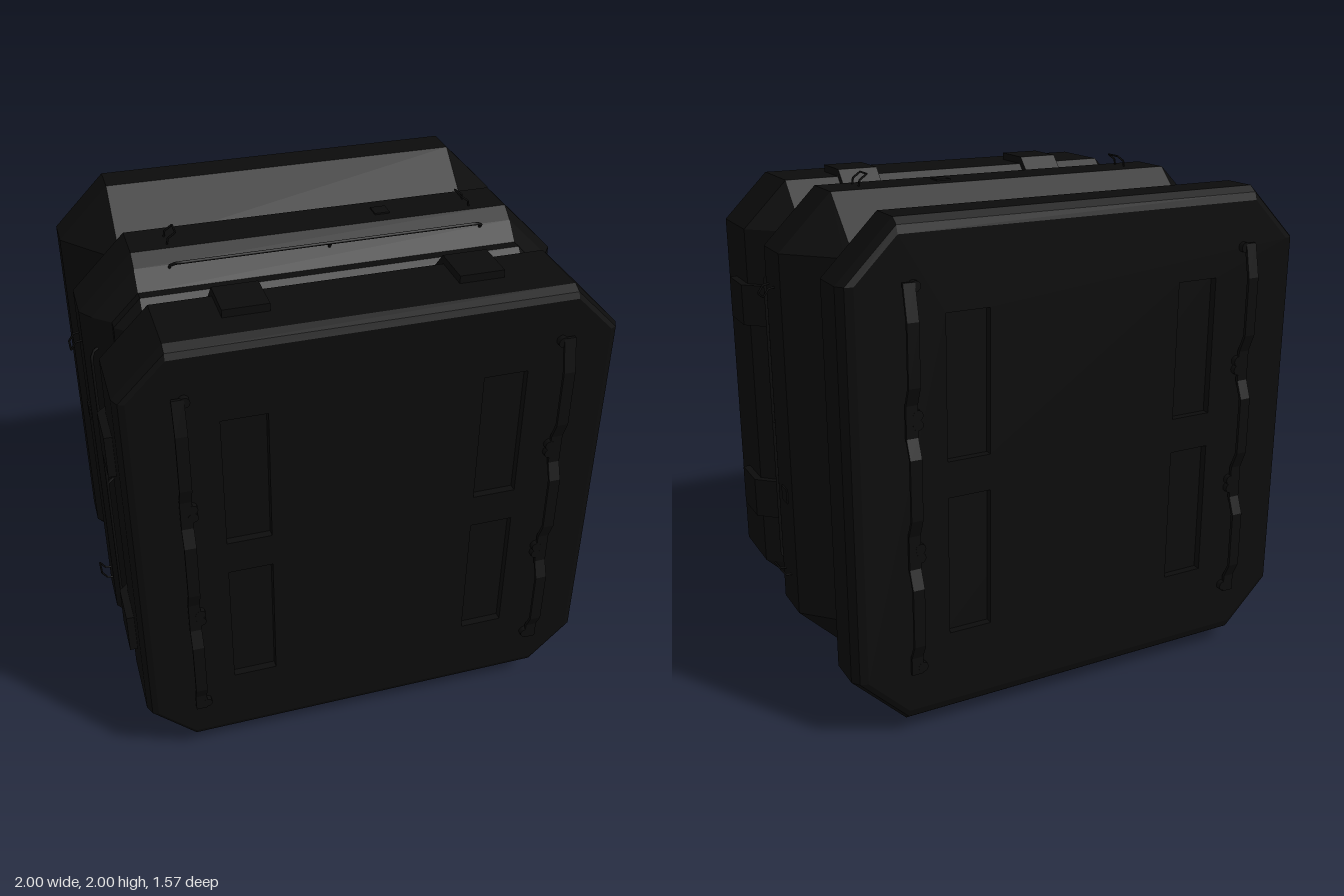
import * as THREE from 'three';

const V = (x, y, z) => new THREE.Vector3(x, y, z);

// Octagon outline of half-size r; corner points stay on the lines at +-0.74
function octagon(r) {
  const c = 0.74;
  return [[r, -c], [r, c], [c, r], [-c, r], [-r, c], [-r, -c], [-c, -r], [c, -r]];
}

// Flat-faced skin through octagons listed front to back as [z, r]
function loft(profile) {
  const pos = [];
  for (let i = 0; i < profile.length - 1; i++) {
    const [z0, r0] = profile[i], [z1, r1] = profile[i + 1];
    const p = octagon(r0), q = octagon(r1);
    for (let j = 0; j < 8; j++) {
      const k = (j + 1) % 8;
      const a = [...p[j], z0], b = [...p[k], z0], c = [...q[k], z1], d = [...q[j], z1];
      pos.push(...a, ...d, ...b, ...d, ...c, ...b);
    }
  }
  const g = new THREE.BufferGeometry();
  g.setAttribute('position', new THREE.Float32BufferAttribute(pos, 3));
  g.computeVertexNormals();
  return g;
}

function shapeOf(points) {
  return new THREE.Shape(points.map(([x, y]) => new THREE.Vector2(x, y)));
}

// Extrudes a [z, height] outline along x, centred on cx
function extrudeAlongX(points, width, cx) {
  const g = new THREE.ExtrudeGeometry(shapeOf(points), { depth: width, bevelEnabled: false });
  g.rotateY(-Math.PI / 2);
  g.translate(cx + width / 2, 0, 0);
  return g;
}

// Thin rod through straight segments
function rod(points, radius) {
  const path = new THREE.CurvePath();
  for (let i = 0; i < points.length - 1; i++) path.add(new THREE.LineCurve3(points[i], points[i + 1]));
  return new THREE.TubeGeometry(path, 48, radius, 6, false);
}

export function createModel() {
  const model = new THREE.Group();
  const black = new THREE.MeshStandardMaterial({ color: 0x0c0c0c });
  black.name = 'matte black';

  const crate = new THREE.Group();
  crate.name = 'crate';
  crate.position.y = 1;
  model.add(crate);

  const add = (parent, name, geometry) => {
    const m = new THREE.Mesh(geometry, black);
    m.name = name;
    parent.add(m);
    return m;
  };

  // Front lid, middle ring and back lid
  add(crate, 'frontLid', loft([[0.735, 0.885], [0.725, 0.908], [0.69, 0.925], [0.42, 0.925], [0.28, 0.78]]));
  add(crate, 'middleRing', loft([[0.28, 0.78], [0.22, 0.845], [0.18, 0.845], [0.12, 0.912],
    [0.065, 0.952], [-0.11, 0.952], [-0.305, 0.765], [-0.34, 0.765]]));
  add(crate, 'backLid', loft([[-0.34, 0.765], [-0.56, 0.952], [-0.695, 0.952], [-0.725, 0.93], [-0.735, 0.9]]));

  // End faces with four recesses, and wavy rails
  const wave = [[1.74, 0.75], [1.61, 0.778], [1.38, 0.778], [1.31, 0.75], [1.19, 0.75], [1.12, 0.778], [0.89, 0.778],
    [0.82, 0.75], [0.69, 0.75], [0.62, 0.778], [0.39, 0.778], [0.33, 0.75], [0.26, 0.75]];
  const strip = [...wave.map(([y, z]) => [z - 0.006, y - 1]),
    ...wave.slice().reverse().map(([y, z]) => [z + 0.006, y - 1])];

  for (const [name, turn, r] of [['front', 0, 0.885], ['back', Math.PI, 0.9]]) {
    const end = new THREE.Group();
    end.name = name + 'End';
    end.rotation.y = turn;
    crate.add(end);

    const face = shapeOf(octagon(r));
    for (const s of [-1, 1]) for (const t of [-1, 1]) {
      const x0 = s * 0.4, x1 = s * 0.57, y0 = t * 0.07, y1 = t * 0.615;
      face.holes.push(new THREE.Path([[x0, y0], [x1, y0], [x1, y1], [x0, y1]].map(([x, y]) => new THREE.Vector2(x, y))));
    }
    const panel = new THREE.ExtrudeGeometry(face, { depth: 0.03, bevelEnabled: false });
    panel.translate(0, 0, 0.705);
    add(end, 'recessedPanel', panel);
    const floor = new THREE.ShapeGeometry(shapeOf(octagon(0.8)));
    floor.translate(0, 0, 0.705);
    add(end, 'recessFloor', floor);

    for (const s of [-1, 1]) {
      add(end, 'wavyRail', extrudeAlongX(strip, 0.045, s * 0.713));
      for (const y of [0.725, 0.27, 0.235, -0.235, -0.27, -0.715]) {
        const clip = add(end, 'railClip', new THREE.CylinderGeometry(0.02, 0.02, 0.025, 12));
        clip.rotation.x = Math.PI / 2;
        clip.position.set(s * 0.69, y, 0.744);
      }
    }
  }

  // Fittings repeated on the top, left, bottom and right
  const latch = [[0.58, 0.9], [0.58, 0.955], [0.41, 0.955], [0.285, 0.82], [0.285, 0.77], [0.42, 0.9]];
  for (let k = 0; k < 4; k++) {
    const side = new THREE.Group();
    side.name = ['top', 'left', 'bottom', 'right'][k] + 'Fittings';
    side.rotation.z = -k * Math.PI / 2;
    crate.add(side);

    for (const s of [-1, 1]) {
      add(side, 'latch', extrudeAlongX(latch, 0.17, s * 0.43));
      // Small curved loop standing on the middle ring
      add(side, 'loop', rod([V(s * 0.6, 0.945, -0.034), V(s * 0.595, 0.975, -0.034), V(s * 0.565, 0.996, -0.034),
        V(s * 0.565, 0.996, 0.034), V(s * 0.595, 0.975, 0.034), V(s * 0.6, 0.945, 0.034)], 0.004));
    }

    // Long grab rods on both slopes of the middle ring
    for (const [z, r, d] of [[0.122, 0.9, 1], [-0.255, 0.81, -1]]) {
      const out = (x, h) => V(x, r + h * 0.7, z + d * h * 0.7);
      add(side, 'grabRod', rod([out(-0.61, 0), out(-0.61, 0.035), out(-0.59, 0.045),
        out(0.59, 0.045), out(0.61, 0.035), out(0.61, 0)], 0.006));
      add(side, 'rodPost', rod([out(0, 0), out(0, 0.045)], 0.006));
    }

    const plate = add(side, 'smallPlate', new THREE.BoxGeometry(0.06, 0.012, 0.06));
    plate.position.set(0.25, 0.952, -0.02);
  }
  return model;
}
